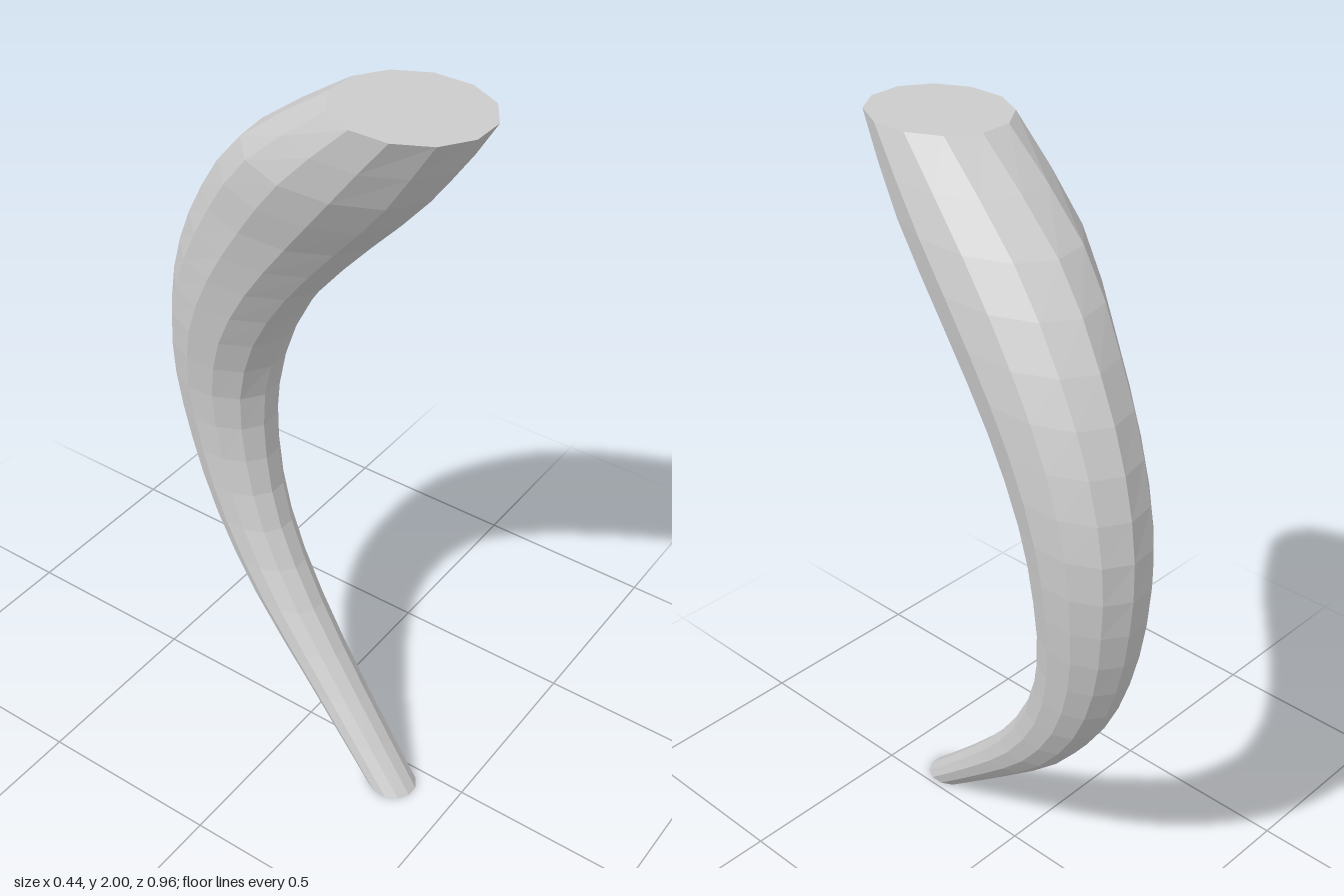
import * as THREE from 'three';

// Outline of the horn at equal height steps of 0.2: left edge, right edge, front edge, back edge
const OUTLINE = [
  [-0.135, -0.015, 0.39, 0.26],
  [-0.09, 0.04, 0.19, 0.03],
  [-0.055, 0.095, 0.01, -0.185],
  [-0.03, 0.14, -0.12, -0.335],
  [-0.02, 0.175, -0.18, -0.425],
  [-0.03, 0.205, -0.185, -0.47],
  [-0.06, 0.22, -0.125, -0.472],
  [-0.095, 0.215, 0.0, -0.42],
  [-0.14, 0.195, 0.17, -0.315],
  [-0.2, 0.155, 0.35, -0.15],
  [-0.225, 0.09, 0.48, 0.12],
];
const SIDES = 12;
const RINGS = 20;

const spline = (a, b) => new THREE.CatmullRomCurve3(
  OUTLINE.map((r, i) => new THREE.Vector3(r[a], i * 0.2, r[b])), false, 'catmullrom', 0.5);

export function createModel() {
  const group = new THREE.Group();
  group.name = 'curvedHorn';
  const width = spline(0, 1), depth = spline(2, 3);
  const fit = 1 / Math.cos(Math.PI / SIDES);
  const positions = [], index = [];

  // Stacked elliptical rings, skewed a little where the horn leans
  for (let i = 0; i <= RINGS; i++) {
    const t = i / RINGS, w = width.getPoint(t), d = depth.getPoint(t);
    const rx = (w.z - w.x) / 2 * fit, rz = (d.x - d.z) / 2 * fit;
    const skew = t > 0.5 ? -0.15 * Math.sin((t - 0.5) * 2 * Math.PI) : 0;
    for (let j = 0; j < SIDES; j++) {
      const a = (j + 0.5) / SIDES * Math.PI * 2;
      positions.push((w.x + w.z) / 2 + rx * Math.cos(a), t * 2, (d.x + d.z) / 2 + rz * Math.sin(a + skew));
      if (i < RINGS) {
        const p = i * SIDES + j, q = i * SIDES + (j + 1) % SIDES;
        index.push(p, p + SIDES, q, q, p + SIDES, q + SIDES);
      }
    }
  }
  // Flat top
  const top = RINGS * SIDES;
  for (let j = 1; j < SIDES - 1; j++) index.push(top, top + j + 1, top + j);

  const geometry = new THREE.BufferGeometry();
  geometry.setAttribute('position', new THREE.Float32BufferAttribute(positions, 3));
  geometry.setIndex(index);
  geometry.computeVertexNormals();

  // Tapered body, open at the narrow lower end
  const horn = new THREE.Mesh(geometry, new THREE.MeshStandardMaterial({
    color: 0xcccccc, flatShading: true, side: THREE.DoubleSide,
  }));
  horn.name = 'hornBody';
  group.add(horn);
  return group;
}
